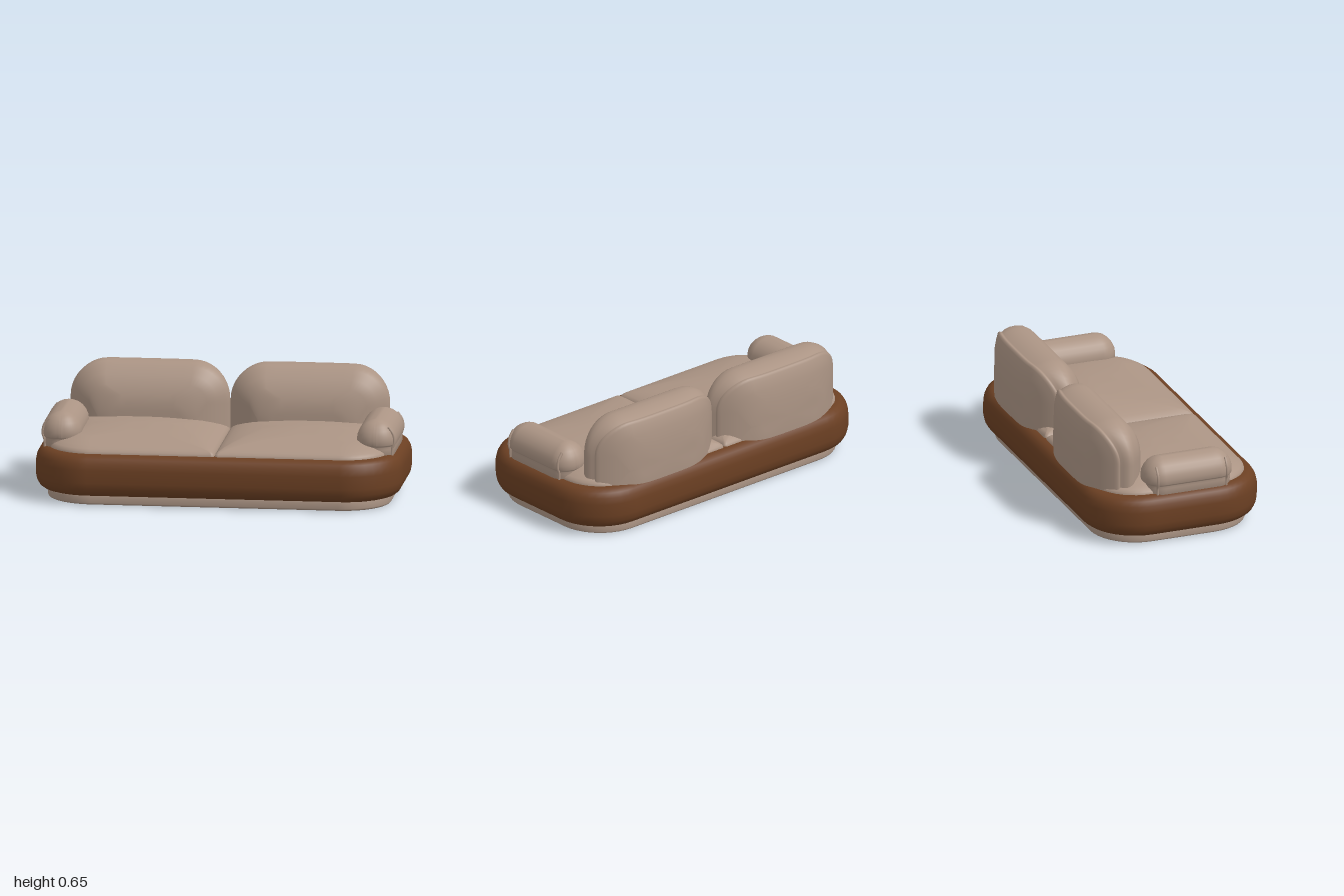
import * as THREE from 'three';

const fabric = new THREE.MeshStandardMaterial({ color: 0xab9484 });
fabric.name = 'taupe fabric';
const leather = new THREE.MeshStandardMaterial({ color: 0x6c4023 });
leather.name = 'brown leather';

// Counter-clockwise rounded rectangle, inset evenly; radii start at the +x +y corner
function outline(hx, hy, radii, inset) {
  const w = hx - inset, h = hy - inset, pts = [];
  const corners = [[1, 1], [-1, 1], [-1, -1], [1, -1]].map(([sx, sy], k) => {
    const r = Math.min(Math.max(radii[k] - inset, inset * 0.8, 0.005), Math.min(w, h) * 0.98);
    const arc = [];
    for (let i = 0; i <= 10; i++) {
      const t = (k + i / 10) * Math.PI / 2;
      arc.push([sx * (w - r) + r * Math.cos(t), sy * (h - r) + r * Math.sin(t)]);
    }
    return arc;
  });
  corners.forEach((arc, k) => {
    pts.push(...arc);
    const a = arc[10], b = corners[(k + 1) % 4][0];
    for (let i = 1; i < 10; i++) {
      pts.push([a[0] + (b[0] - a[0]) * i / 10, a[1] + (b[1] - a[1]) * i / 10]);
    }
  });
  return pts;
}

// Closed solid through rings of [level, inset, bend]; bend pulls the side ends forward
function loft(hx, hy, radii, rings) {
  const pos = [], index = [];
  let n = 0;
  rings.forEach(([level, inset, bend = 0]) => {
    const pts = outline(hx, hy, radii, inset);
    n = pts.length;
    pts.forEach(([x, y]) => pos.push(x, y, level + bend * Math.pow(Math.abs(x) / hx, 4)));
  });
  for (let i = 0; i < rings.length - 1; i++) {
    for (let j = 0; j < n; j++) {
      const a = i * n + j, b = i * n + (j + 1) % n;
      index.push(a, b, b + n, a, b + n, a + n);
    }
  }
  const last = (rings.length - 1) * n, c = rings.length * n;
  pos.push(0, 0, rings[0][0], 0, 0, rings[rings.length - 1][0]);
  for (let j = 0; j < n; j++) {
    const k = (j + 1) % n;
    index.push(c, k, j, c + 1, last + j, last + k);
  }
  const g = new THREE.BufferGeometry();
  g.setAttribute('position', new THREE.Float32BufferAttribute(pos, 3));
  g.setIndex(index);
  g.computeVertexNormals();
  return g;
}

// Same solid with its levels running upwards
const upright = (...args) => loft(...args).rotateX(-Math.PI / 2);
const all = r => [r, r, r, r];

export function createModel() {
  const sofa = new THREE.Group();
  sofa.name = 'sofa';
  const add = (name, geometry, material, x = 0, y = 0, z = 0) => {
    const mesh = new THREE.Mesh(geometry, material);
    mesh.name = name;
    mesh.position.set(x, y, z);
    sofa.add(mesh);
    return mesh;
  };

  // Low plinth
  add('plinth', upright(0.935, 0.442, all(0.26), [
    [0, 0.03], [0, 0.012], [0.004, 0.004], [0.012, 0], [0.04, 0], [0.08, 0.006]
  ]), fabric);

  // Padded surround
  add('surround', upright(1, 0.5, all(0.31), [
    [0.05, 0.09], [0.05, 0.06], [0.056, 0.04], [0.07, 0.021], [0.095, 0.007], [0.13, 0],
    [0.2, 0], [0.235, 0.007], [0.26, 0.021], [0.274, 0.04], [0.28, 0.06], [0.28, 0.09]
  ]), leather);

  for (const side of [1, -1]) {
    const label = side > 0 ? 'left' : 'right';

    // Domed seat cushion, round on its outer corners
    const r = side > 0 ? [0.25, 0.02, 0.02, 0.25] : [0.02, 0.25, 0.25, 0.02];
    add(label + 'SeatCushion', upright(0.465, 0.435, r, [
      [0.25, 0], [0.278, 0], [0.293, 0.005], [0.305, 0.018], [0.32, 0.045], [0.335, 0.085],
      [0.35, 0.14], [0.363, 0.22], [0.371, 0.31], [0.375, 0.41]
    ]), fabric, side * 0.465);

    // Back cushion, piped near the rear and curved round at its ends
    add(label + 'BackCushion', loft(0.435, 0.295, all(0.2), [
      [-0.478, 0.24, 0.13], [-0.475, 0.17, 0.13], [-0.468, 0.1, 0.13], [-0.456, 0.055, 0.12],
      [-0.448, 0.034, 0.115], [-0.443, 0.022, 0.11], [-0.434, 0.018, 0.11], [-0.426, 0.023, 0.11],
      [-0.418, 0.022, 0.105], [-0.4, 0.012, 0.09], [-0.36, 0.002, 0.06], [-0.32, 0, 0.035],
      [-0.28, 0.006, 0.015], [-0.25, 0.022], [-0.21, 0.065], [-0.18, 0.115],
      [-0.16, 0.165], [-0.15, 0.21], [-0.148, 0.25]
    ]), fabric, side * 0.436, 0.355);

    // Rounded armrest on a slimmer foot
    add(label + 'Armrest', upright(0.108, 0.255, all(0.1), [
      [0.22, 0.012], [0.31, 0.01], [0.322, 0.012], [0.328, 0.008], [0.335, 0.001], [0.36, 0],
      [0.385, 0.004], [0.41, 0.015], [0.432, 0.032], [0.448, 0.052], [0.459, 0.074], [0.465, 0.1]
    ]), fabric, side * 0.858, 0, 0.045);

    // Upright piping near both ends of the armrest's outer face
    for (const z of [0.245, -0.155]) {
      const path = new THREE.CatmullRomCurve3([
        [0.952, 0.26], [0.954, 0.315], [0.963, 0.345], [0.958, 0.39], [0.932, 0.43]
      ].map(([x, y]) => new THREE.Vector3(side * (x - 0.006), y, z)));
      add(label + 'ArmPiping', new THREE.TubeGeometry(path, 20, 0.007, 8), fabric);
    }
  }
  return sofa;
}
